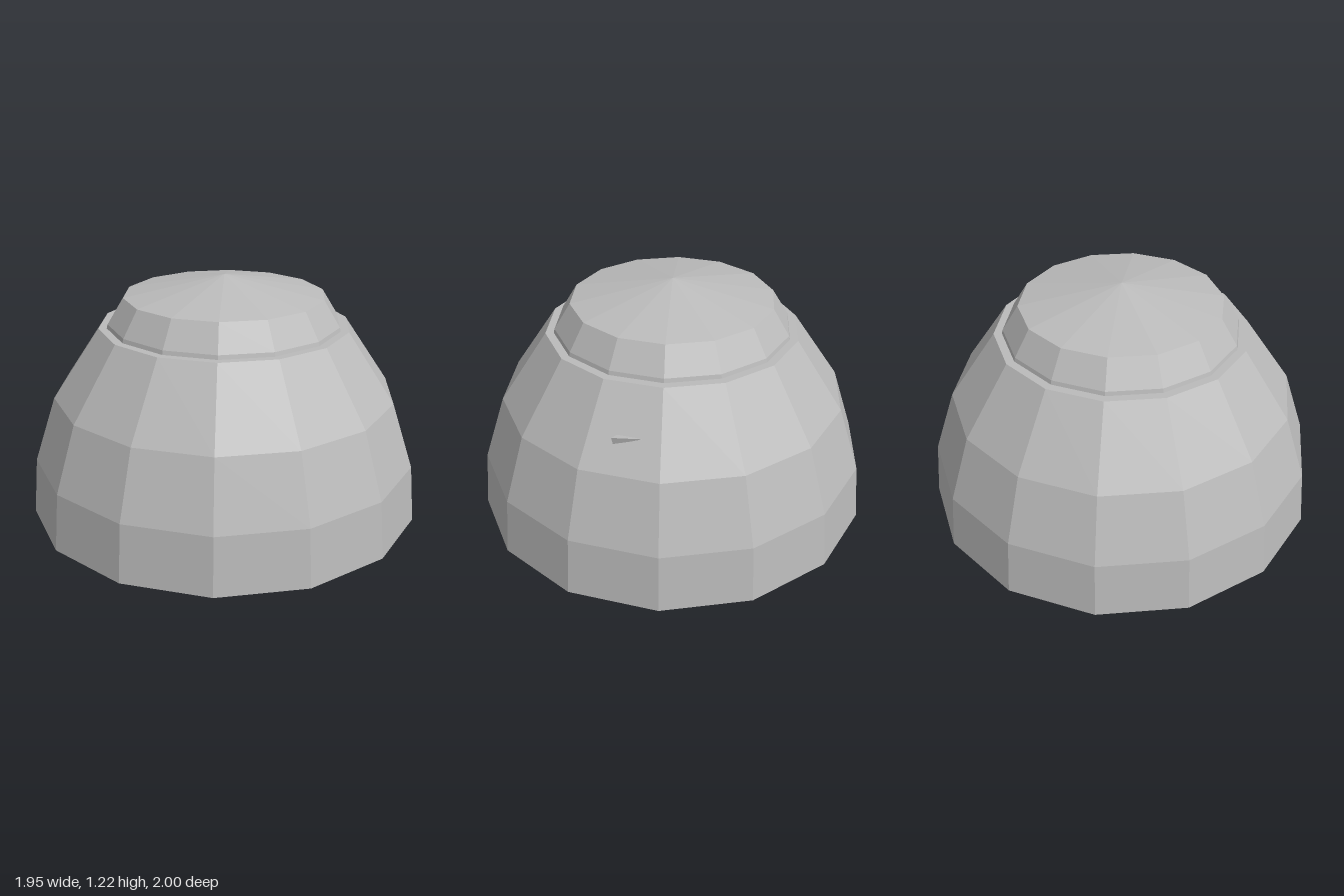
import * as THREE from 'three';

const SIDES = 14;

export function createModel() {
  const model = new THREE.Group();
  model.name = 'facetedDome';
  const gray = new THREE.MeshStandardMaterial({
    color: 0xbbbbbb, flatShading: true, side: THREE.DoubleSide,
  });
  gray.name = 'plain gray';

  // Revolve a [radius, height] profile into a faceted open shell
  const addShell = (name, profile) => {
    const points = profile.map(([r, y]) => new THREE.Vector2(r, y));
    const mesh = new THREE.Mesh(new THREE.LatheGeometry(points, SIDES), gray);
    mesh.name = name;
    model.add(mesh);
  };

  // Outer dome, open below, with a narrow flat lip around the cap
  addShell('domeShell', [[1, 0], [0.975, 0.29], [0.867, 0.62], [0.631, 0.97], [0.59, 0.97]]);

  // Inner collar continuing down inside the dome, chamfered cap and shallow cone
  addShell('capAndCollar', [[0.63, 0.57], [0.595, 0.95], [0.585, 0.99], [0.505, 1.12], [0, 1.22]]);

  // Small corner poking through the left rear facet
  const corner = [0.723, 0.772, -0.29];
  const low = [0.713, 0.73, -0.29];
  const rear = [0.638, 0.772, -0.4];
  const inner = [0.68, 0.772, -0.29];
  const faces = [[corner, low, rear], [corner, rear, inner], [corner, inner, low]];
  const geometry = new THREE.BufferGeometry();
  geometry.setAttribute('position', new THREE.Float32BufferAttribute(faces.flat(2), 3));
  geometry.computeVertexNormals();
  const nub = new THREE.Mesh(geometry, gray);
  nub.name = 'protrudingCorner';
  model.add(nub);

  return model;
}
